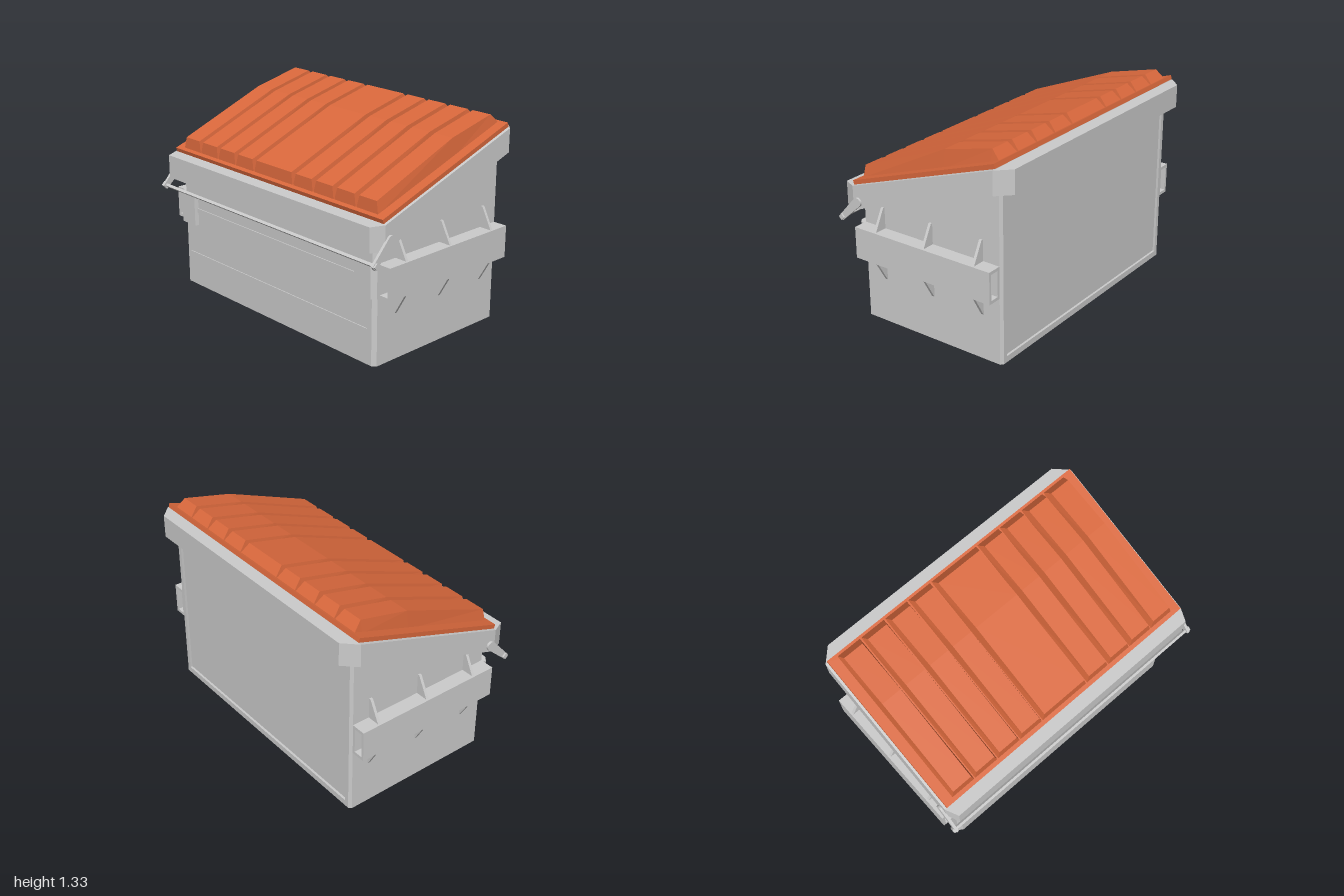
import * as THREE from 'three';

const grey = new THREE.MeshStandardMaterial({ color: 0xcccccc, flatShading: true });
const orange = new THREE.MeshStandardMaterial({ color: 0xd9683c, flatShading: true });

function mesh(name, geometry, material = grey) {
  const m = new THREE.Mesh(geometry, material);
  m.name = name;
  return m;
}

function box(name, w, h, d, x, y, z) {
  const m = mesh(name, new THREE.BoxGeometry(w, h, d));
  m.position.set(x, y, z);
  return m;
}

// Solid through four-cornered rings, ordered from front (+z) to back
function loft(rings) {
  const pos = [];
  const quad = (a, b, c, d) => pos.push(...a, ...b, ...c, ...a, ...c, ...d);
  quad(...rings[0]);
  for (let i = 0; i < rings.length - 1; i++) {
    const A = rings[i], B = rings[i + 1];
    for (let j = 0; j < 4; j++) {
      const k = (j + 1) % 4;
      quad(A[j], B[j], B[k], A[k]);
    }
  }
  quad(...[...rings[rings.length - 1]].reverse());
  const g = new THREE.BufferGeometry();
  g.setAttribute('position', new THREE.Float32BufferAttribute(pos, 3));
  g.computeVertexNormals();
  return g;
}

// Ring symmetric about x = 0
const slice = (hx, y0, y1, z, zTop = z) =>
  [[-hx, y0, z], [hx, y0, z], [hx, y1, zTop], [-hx, y1, zTop]];

const polygon = (pts) => new THREE.Shape(pts.map(([x, y]) => new THREE.Vector2(x, y)));

function frameShape(x0, y0, x1, y1, hx0, hy0, hx1, hy1) {
  const s = polygon([[x0, y0], [x1, y0], [x1, y1], [x0, y1]]);
  s.holes.push(polygon([[hx0, hy0], [hx0, hy1], [hx1, hy1], [hx1, hy0]]));
  return s;
}

const extrude = (shape, depth) =>
  new THREE.ExtrudeGeometry(shape, { depth, bevelEnabled: false, curveSegments: 8 });

// Fork sleeve, gussets, front plate and bar arm on one side
function makeSide(name) {
  const side = new THREE.Group();
  side.name = name;

  const sleeve = mesh('forkSleeve', extrude(frameShape(0.895, 0.435, 0.995, 0.64, 0.918, 0.455, 0.978, 0.62), 1.015));
  sleeve.position.z = -0.525;
  side.add(sleeve);

  const upper = polygon([[0.895, 0.635], [0.985, 0.635], [0.912, 0.775], [0.895, 0.775]]);
  const lower = polygon([[0.895, 0.295], [0.902, 0.295], [0.985, 0.44], [0.895, 0.44]]);
  for (const z of [0.34, -0.03, -0.4]) {
    for (const [label, shape] of [['upperGusset', upper], ['lowerGusset', lower]]) {
      const g = mesh(label, extrude(shape, 0.018));
      g.position.z = z - 0.009;
      side.add(g);
    }
  }

  const plan = polygon([[0.745, 0.5], [0.885, 0.485], [0.918, 0.485], [0.918, 0.512], [0.888, 0.535], [0.755, 0.535]]);
  const plate = mesh('cornerPlate', extrude(plan, 0.205).rotateX(Math.PI / 2));
  plate.position.y = 0.64;
  side.add(plate);

  // Arm outline drawn with -z to the right, squared off at the bar
  const arm = new THREE.Shape();
  arm.moveTo(-0.622, 0.68);
  arm.lineTo(-0.597, 0.653);
  arm.absarc(-0.472, 0.802, 0.029, -Math.PI / 4, Math.PI * 0.75, false);
  arm.closePath();
  const armMesh = mesh('barArm', extrude(arm, 0.018).rotateY(Math.PI / 2));
  armMesh.position.x = 0.971;
  side.add(armMesh);

  const nub = box('barEnd', 0.03, 0.03, 0.03, 0.985, 0.68, 0.596);
  nub.rotation.x = Math.PI / 4;
  side.add(nub);
  return side;
}

export function createModel() {
  const model = new THREE.Group();
  model.name = 'dumpster';

  // Container with chamfered corners and a sloping top
  model.add(mesh('container', loft([
    slice(0.875, 0.012, 0.87, 0.51),
    slice(0.9, 0.012, 0.877, 0.49),
    slice(0.9, 0.012, 1.21, -0.525),
  ])));

  // Lip under the floor
  const lipShape = polygon([[-0.875, 0.51], [-0.9, 0.49], [-0.9, -0.525], [-0.885, -0.54],
    [0.885, -0.54], [0.9, -0.525], [0.9, 0.49], [0.875, 0.51]]);
  lipShape.holes.push(polygon([[-0.875, -0.515], [0.875, -0.515], [0.875, 0.485], [-0.875, 0.485]]));
  const lip = mesh('floorLip', extrude(lipShape, 0.012).rotateX(Math.PI / 2));
  lip.position.y = 0.012;
  model.add(lip);

  // Raised frame around the back panel, chamfered at the outer corners
  const backFrame = extrude(frameShape(-0.9, 0.012, 0.9, 1.2, -0.855, 0.04, 0.855, 1.065), 0.015);
  const p = backFrame.attributes.position;
  for (let i = 0; i < p.count; i++) {
    if (p.getZ(i) < 0.001 && Math.abs(p.getX(i)) > 0.89) p.setX(i, Math.sign(p.getX(i)) * 0.883);
  }
  backFrame.computeVertexNormals();
  const frame = mesh('backFrame', backFrame);
  frame.position.z = -0.54;
  model.add(frame);

  // Front ribs
  model.add(box('upperFrontRib', 1.5, 0.03, 0.02, 0, 0.537, 0.506));
  model.add(box('lowerFrontRib', 1.68, 0.025, 0.02, 0, 0.218, 0.506));

  // Rim band
  model.add(mesh('rim', loft([
    slice(0.935, 0.742, 0.895, 0.595),
    slice(0.975, 0.742, 0.897, 0.51),
    slice(0.975, 1.1, 1.25, -0.54),
    slice(0.89, 1.1, 1.25, -0.625),
  ])));

  // Lid slab and its tapered raised panels
  const lid = new THREE.Group();
  lid.name = 'lid';
  lid.add(mesh('lidSlab', loft([
    slice(0.96, 0.9, 0.926, 0.51, 0.518),
    slice(0.96, 1.256, 1.283, -0.545, -0.537),
  ]), orange));
  const grooves = [-0.9, -0.722, -0.54, -0.362, -0.182, 0.182, 0.362, 0.54, 0.722, 0.9];
  const profile = [ // base y, base z, top y, top z
    [0.93, 0.492, 1.008, 0.485],
    [1.135, -0.13, 1.25, -0.13],
    [1.25, -0.47, 1.33, -0.468],
    [1.268, -0.525, 1.276, -0.523],
  ];
  for (let i = 0; i < grooves.length - 1; i++) {
    const a = grooves[i] + 0.003, b = grooves[i + 1] - 0.003;
    lid.add(mesh('lidPanel', loft(profile.map(([y0, z0, y1, z1], k) => {
      const t = k === 3 ? 0.003 : 0.017;
      return [[a, y0, z0], [b, y0, z0], [b - t, y1, z1], [a + t, y1, z1]];
    })), orange));
  }
  model.add(lid);

  // Sides and the front bar between the arms
  const left = makeSide('leftSide');
  const right = makeSide('rightSide');
  right.scale.x = -1;
  model.add(left, right);
  const bar = box('frontBar', 1.96, 0.018, 0.018, 0, 0.68, 0.596);
  bar.rotation.x = Math.PI / 4;
  model.add(bar);

  return model;
}
